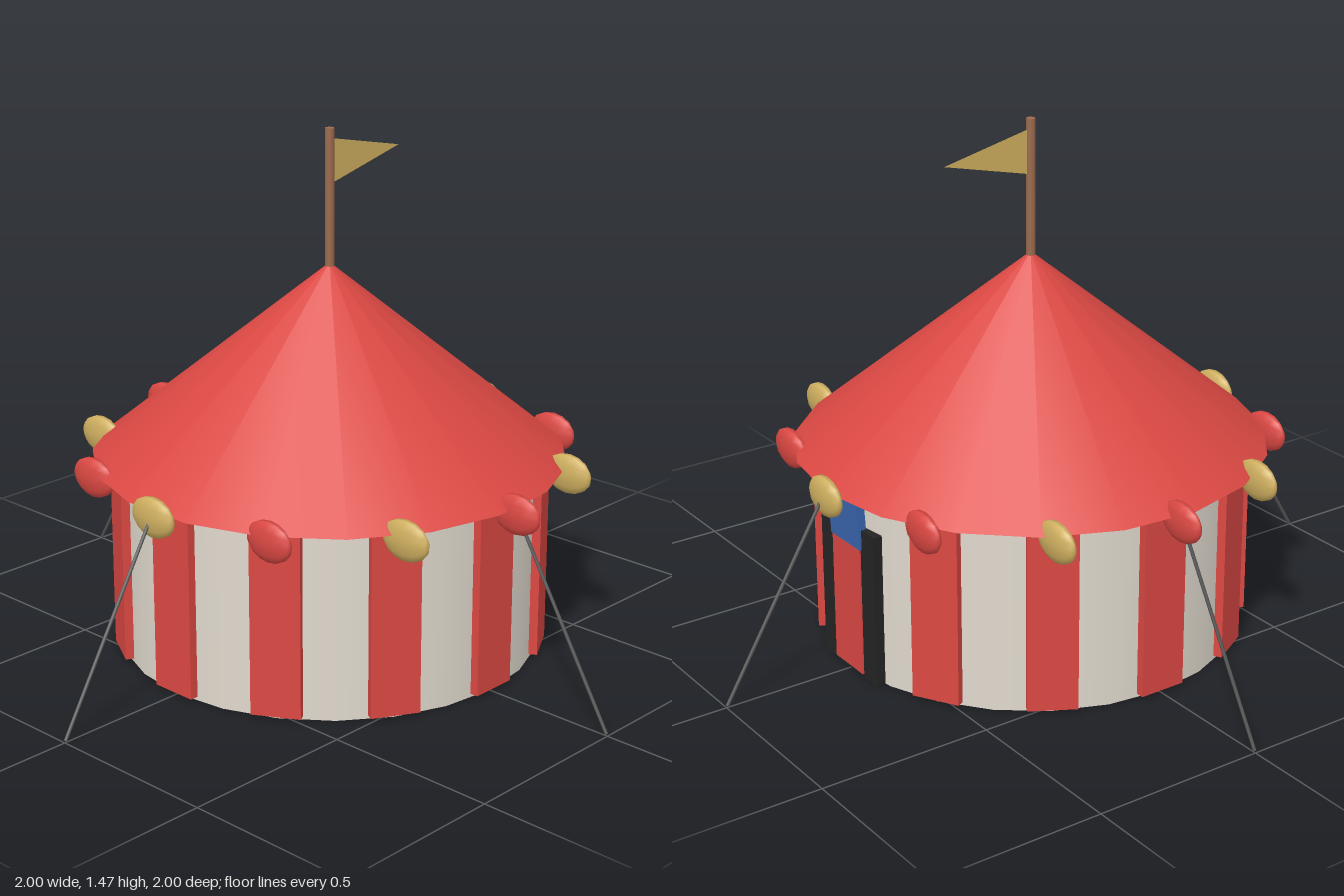
import * as THREE from 'three';

const mat = (name, color, side = THREE.FrontSide) => {
  const m = new THREE.MeshStandardMaterial({ color, side });
  m.name = name;
  return m;
};

export function createModel() {
  const red = mat('red canvas', 0xdb4843);
  const white = mat('off-white canvas', 0xe0d9cd);
  const gold = mat('gold', 0xd0b060, THREE.DoubleSide);
  const brown = mat('brown wood', 0x9c6b4e);
  const black = mat('black', 0x242424);
  const blue = mat('blue cloth', 0x3a66b0);
  const grey = mat('grey rope', 0x555555);

  const tent = new THREE.Group();
  tent.name = 'tent';
  const add = (name, geometry, material, x = 0, y = 0, z = 0) => {
    const mesh = new THREE.Mesh(geometry, material);
    mesh.name = name;
    mesh.position.set(x, y, z);
    tent.add(mesh);
    return mesh;
  };

  // Straight rod between two points
  const rod = (name, a, b, radius, sides, material) => {
    const dir = b.clone().sub(a);
    const mesh = add(name, new THREE.CylinderGeometry(radius, radius, dir.length(), sides), material);
    mesh.position.copy(a).add(b).multiplyScalar(0.5);
    mesh.quaternion.setFromUnitVectors(new THREE.Vector3(0, 1, 0), dir.normalize());
  };

  // Round wall and conical roof
  add('wall', new THREE.CylinderGeometry(0.6, 0.6, 0.54, 24), white, 0, 0.275, 0);
  add('roof', new THREE.ConeGeometry(0.67, 0.55, 19, 1, false, Math.PI / 2), red, 0, 0.825, 0);

  // Wall stripes, and a bead at the eaves above each one
  const beadGeometry = new THREE.SphereGeometry(1, 10, 8).rotateX(Math.PI / 2).scale(0.024, 0.058, 0.078);
  for (let i = 0; i < 12; i++) {
    const a = (i * Math.PI) / 6;
    const c = Math.cos(a), s = Math.sin(a);
    // the stripe at the doorway is the shorter door flap
    const h = i === 0 ? 0.375 : 0.525;
    const stripe = add(i === 0 ? 'doorFlap' : 'wallStripe', new THREE.BoxGeometry(0.03, h, 0.138),
      red, 0.6 * c, 0.015 + h / 2, 0.6 * s);
    stripe.rotation.y = -a;
    add('eaveBead', beadGeometry, i % 2 ? red : gold, 0.672 * c, 0.54, 0.678 * s);
  }

  // Doorway on the left side, with a tilted blue valance over it
  add('doorway', new THREE.BoxGeometry(0.03, 0.445, 0.268), black, 0.595, 0.2275, 0);
  const valance = add('doorValance', new THREE.BoxGeometry(0.025, 0.15, 0.148), blue, 0.608, 0.467, 0);
  valance.rotation.z = -0.06;

  // Guy ropes
  for (let i = 0; i < 4; i++) {
    const a = (i * Math.PI) / 2;
    const at = (r, y) => new THREE.Vector3(r * Math.cos(a), y, r * Math.sin(a));
    rod('guyRope', at(0.67, 0.56), at(0.997, 0.01), 0.005, 6, grey);
  }

  // Flagpole and pennant
  rod('flagpole', new THREE.Vector3(0, 1.06, 0), new THREE.Vector3(0, 1.475, 0), 0.013, 8, brown);
  const pennant = new THREE.Shape([[0.008, 1.445], [0.008, 1.32], [0.28, 1.385]].map((p) => new THREE.Vector2(...p)));
  add('pennant', new THREE.ShapeGeometry(pennant), gold);

  return tent;
}
